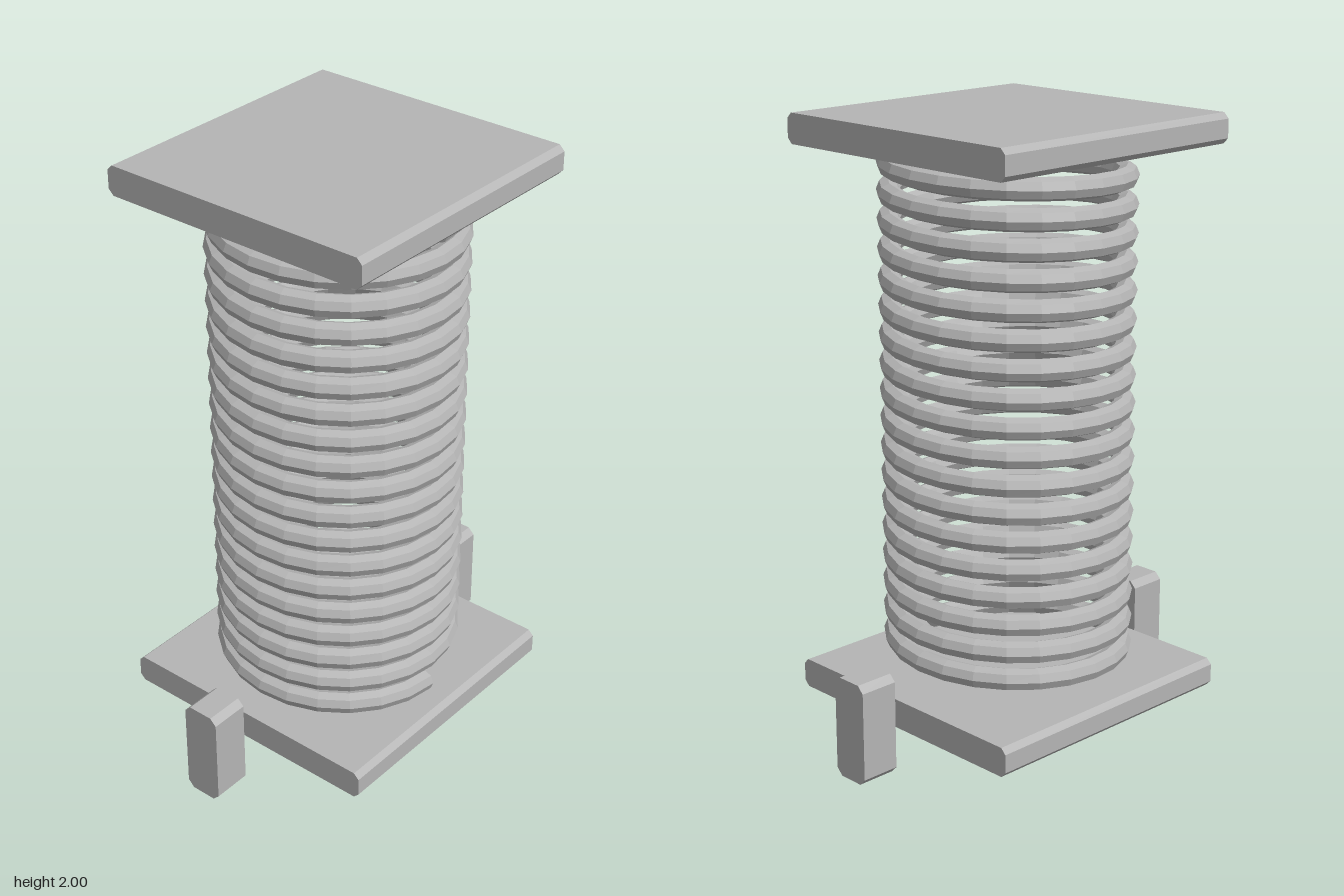
import * as THREE from 'three';

const steel = new THREE.MeshStandardMaterial({ color: 0xb4b4b4, flatShading: true });
steel.name = 'grey steel';

// Block with its four long edges (along z) chamfered, centred on its own middle
function chamferedBlock(name, w, h, d, c, y, z) {
  const a = w / 2, b = h / 2;
  const outline = [
    [-a + c, -b], [a - c, -b], [a, -b + c], [a, b - c],
    [a - c, b], [-a + c, b], [-a, b - c], [-a, -b + c],
  ].map(([px, py]) => new THREE.Vector2(px, py));
  const geo = new THREE.ExtrudeGeometry(new THREE.Shape(outline), { depth: d, bevelEnabled: false });
  geo.translate(0, 0, -d / 2);
  const mesh = new THREE.Mesh(geo, steel);
  mesh.name = name;
  mesh.position.set(0, y, z);
  return mesh;
}

// Helical wire: an octagonal section swept upwards around y, closed at both ends
function coilGeometry(radius, wire, yStart, yEnd, turns, perTurn = 24, sides = 8) {
  const pos = [], idx = [];
  const steps = turns * perTurn;
  for (let i = 0; i <= steps; i++) {
    const t = (i / perTurn) * Math.PI * 2;
    const y = yStart + (yEnd - yStart) * (i / steps);
    for (let j = 0; j < sides; j++) {
      const s = (j / sides) * Math.PI * 2;
      const r = radius + wire * Math.cos(s);
      pos.push(r * Math.cos(t), y + wire * Math.sin(s), r * Math.sin(t));
    }
  }
  for (let i = 0; i < steps; i++) {
    for (let j = 0; j < sides; j++) {
      const k = (j + 1) % sides;
      const a = i * sides + j, b = i * sides + k;
      const c = a + sides, d = b + sides;
      idx.push(a, b, c, b, d, c);
    }
  }
  // End caps
  const last = steps * sides;
  for (let j = 1; j < sides - 1; j++) {
    idx.push(0, j + 1, j);
    idx.push(last, last + j, last + j + 1);
  }
  const geo = new THREE.BufferGeometry();
  geo.setAttribute('position', new THREE.Float32BufferAttribute(pos, 3));
  geo.setIndex(idx);
  const flat = geo.toNonIndexed();
  flat.computeVertexNormals();
  return flat;
}

export function createModel() {
  const model = new THREE.Group();
  model.name = 'coilSpringPad';

  // Square plates below and above the spring
  model.add(chamferedBlock('basePlate', 0.948, 0.096, 0.948, 0.018, 0.152, 0));
  model.add(chamferedBlock('topPlate', 0.948, 0.096, 0.948, 0.018, 1.952, 0));

  // Upright pegs in front of and behind the base
  for (const side of [1, -1]) {
    const name = side > 0 ? 'frontPeg' : 'backPeg';
    model.add(chamferedBlock(name, 0.13, 0.333, 0.13, 0.022, 0.1665, side * 0.615));
  }

  // Spring
  // The caps face -z at the bottom start and +z at the top end
  const spring = new THREE.Mesh(coilGeometry(0.369, 0.036, 0.236, 1.868, 18), steel);
  spring.name = 'spring';
  model.add(spring);

  return model;
}
